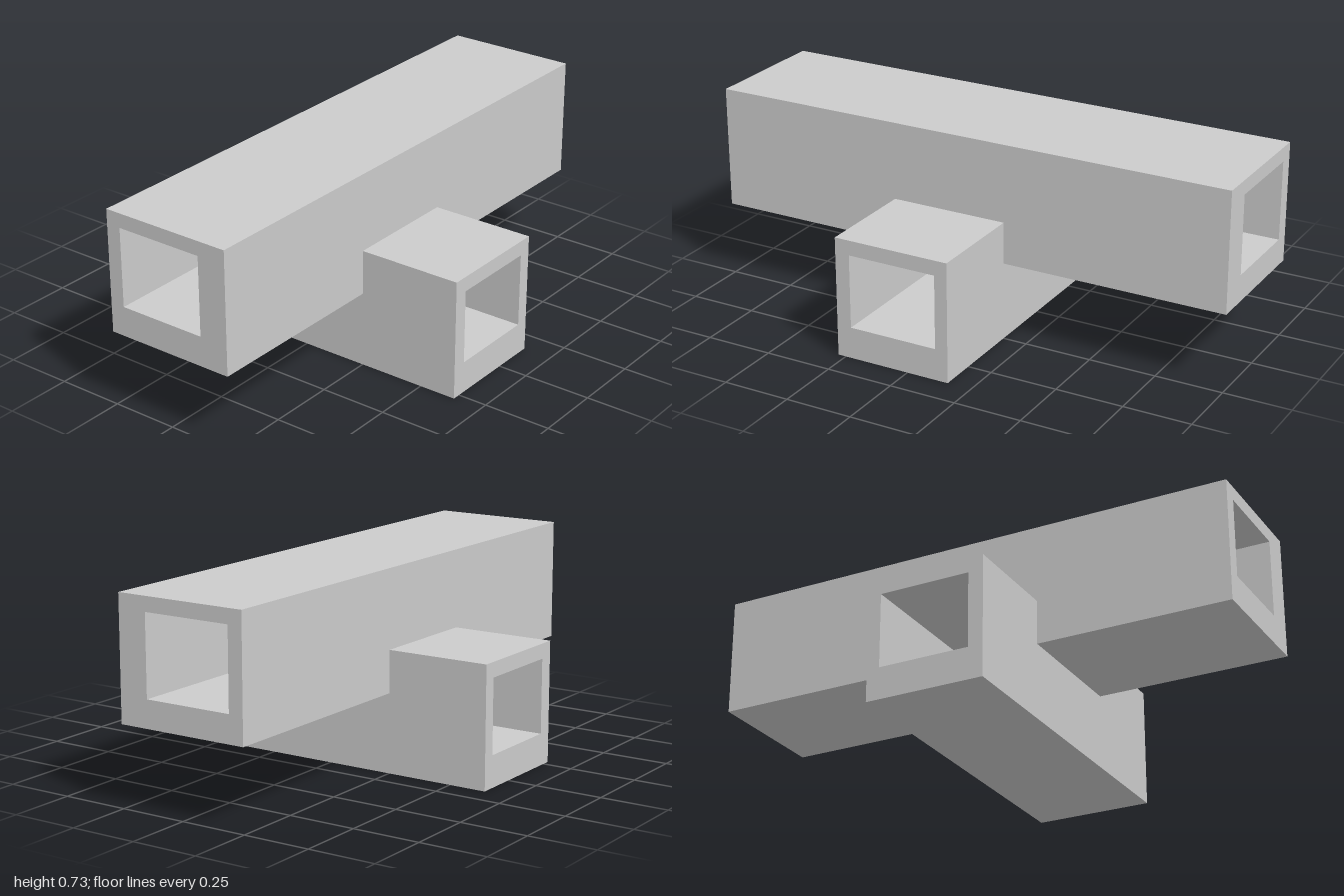
import * as THREE from 'three';
import { mergeGeometries } from 'three/addons/utils/BufferGeometryUtils.js';

// Main beam runs along x, cross beam along z; both are square tubes.
const main = { z: 0.25, y0L: 0.28, y0R: 0.29, y1: 0.733 };
const mainHole = { z0: -0.195, z1: 0.14, y0: 0.39, y1: 0.68 };
const cross = { x0: -0.28, x1: 0.16, z: 0.64, y1: 0.445 };
const crossHole = { x0: -0.225, x1: 0.112, y0: 0.117, y1: 0.39 };

const rect = (u0, u1, v0, v1) => [[u0, v0], [u1, v0], [u1, v1], [u0, v1]];
const toPoints = (list) => list.map(([u, v]) => new THREE.Vector2(u, v));

// Flat panel across an axis, facing dir (+1 / -1).
// Outline coordinates: x -> (z, y), y -> (x, z), z -> (x, y).
function panel(axis, at, dir, outline, hole) {
  const shape = new THREE.Shape(toPoints(outline));
  if (hole) shape.holes.push(new THREE.Path(toPoints(hole)));
  const geo = new THREE.ShapeGeometry(shape);
  const pos = geo.attributes.position;
  for (let i = 0; i < pos.count; i++) {
    const u = pos.getX(i), v = pos.getY(i);
    if (axis === 'x') pos.setXYZ(i, at, v, u);
    else if (axis === 'y') pos.setXYZ(i, u, at, v);
    else pos.setXYZ(i, u, v, at);
  }
  // Turn the triangles round where the mapped winding faces the wrong way.
  if (dir !== (axis === 'z' ? 1 : -1)) geo.index.array.reverse();
  geo.computeVertexNormals();
  return geo;
}

export function createModel() {
  const group = new THREE.Group();
  const material = new THREE.MeshStandardMaterial({ color: 0xcccccc, flatShading: true });
  const add = (name, panels) => {
    const mesh = new THREE.Mesh(mergeGeometries(panels), material);
    mesh.name = name;
    group.add(mesh);
  };
  const { x0, x1, z: cz, y1: cy } = cross;
  const { z: mz, y0L, y0R, y1: my } = main;
  const h = mainHole, c = crossHole;

  // Main beam outside, notched where the cross beam passes through
  const sideOutline = [[-1, y0L], [x0, y0L], [x0, cy], [x1, cy], [x1, y0R], [1, y0R], [1, my], [-1, my]];
  const mainPanels = [
    panel('y', my, 1, rect(-1, 1, -mz, mz)),
    panel('y', y0L, -1, rect(-1, x0, -mz, mz)),
    panel('y', y0R, -1, rect(x1, 1, -mz, mz)),
  ];
  for (const s of [-1, 1]) {
    mainPanels.push(panel('z', s * mz, s, sideOutline));
    mainPanels.push(panel('x', s, s, rect(-mz, mz, s < 0 ? y0L : y0R, my), rect(h.z0, h.z1, h.y0, h.y1)));
  }
  add('mainBeam', mainPanels);

  // Bore of the main beam
  add('mainBeamBore', [
    panel('y', h.y0, 1, rect(-1, 1, h.z0, h.z1)),
    panel('y', h.y1, -1, rect(-1, 1, h.z0, h.z1)),
    panel('z', h.z0, 1, rect(-1, 1, h.y0, h.y1)),
    panel('z', h.z1, -1, rect(-1, 1, h.y0, h.y1)),
  ]);

  // Cross beam outside, notched under the main beam
  const flank = (y) => [[-cz, 0], [cz, 0], [cz, cy], [mz, cy], [mz, y], [-mz, y], [-mz, cy], [-cz, cy]];
  const crossPanels = [
    panel('y', 0, -1, rect(x0, x1, -cz, cz)),
    panel('x', x0, -1, flank(y0L)),
    panel('x', x1, 1, flank(y0R)),
    panel('y', cy, 1, rect(x0, x1, mz, cz)),
    panel('y', cy, 1, rect(x0, x1, -cz, -mz)),
  ];
  for (const s of [-1, 1]) {
    crossPanels.push(panel('z', s * cz, s, rect(x0, x1, 0, cy), rect(c.x0, c.x1, c.y0, c.y1)));
  }
  add('crossBeam', crossPanels);

  // Bore of the cross beam
  add('crossBeamBore', [
    panel('y', c.y0, 1, rect(c.x0, c.x1, -cz, cz)),
    panel('y', c.y1, -1, rect(c.x0, c.x1, -cz, cz)),
    panel('x', c.x0, 1, rect(-cz, cz, c.y0, c.y1)),
    panel('x', c.x1, -1, rect(-cz, cz, c.y0, c.y1)),
  ]);

  return group;
}
